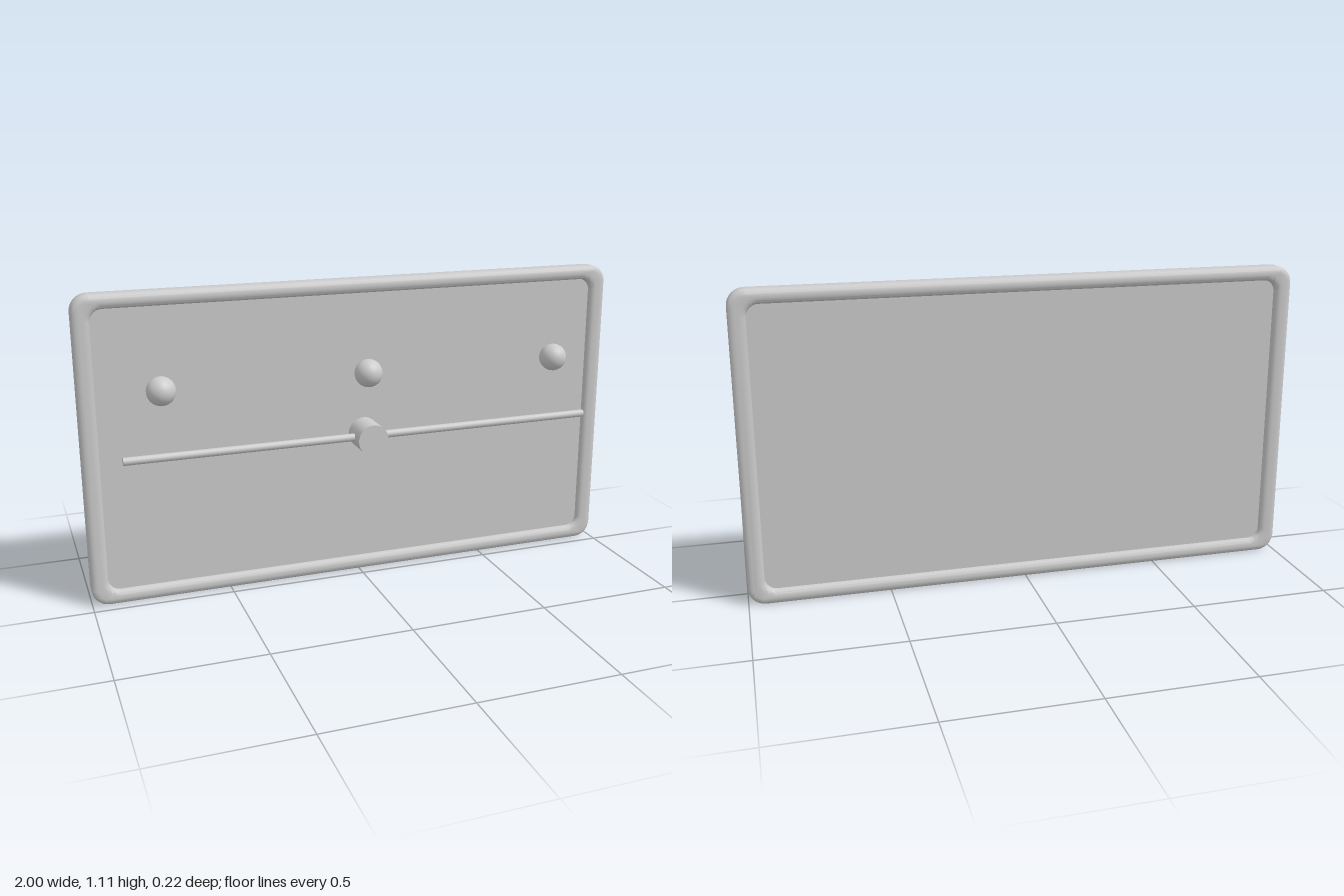
import * as THREE from 'three';
import { toCreasedNormals } from 'three/addons/utils/BufferGeometryUtils.js';

const material = new THREE.MeshStandardMaterial({ color: 0xcccccc });
const WIDTH = 2, HEIGHT = 1.11, MID_Y = HEIGHT / 2;
const FRAME_Z = -0.0735, FRAME_DEPTH = 0.075;
const FRONT_Z = 0.057; // depth of the rod, hub and balls

// Traces a rounded rectangle centred on the origin into a Shape or Path
function roundedRect(path, w, h, r) {
  const x = w / 2, y = h / 2;
  path.moveTo(x, -y + r);
  path.absarc(x - r, y - r, r, 0, Math.PI / 2);
  path.absarc(-x + r, y - r, r, Math.PI / 2, Math.PI);
  path.absarc(-x + r, -y + r, r, Math.PI, Math.PI * 1.5);
  path.absarc(x - r, -y + r, r, Math.PI * 1.5, Math.PI * 2);
  path.closePath();
  return path;
}

export function createModel() {
  const model = new THREE.Group();
  const add = (name, geometry, x, y, z) => {
    const mesh = new THREE.Mesh(geometry, material);
    mesh.name = name;
    mesh.position.set(x, y, z);
    model.add(mesh);
    return mesh;
  };

  // Rounded rim: a ring with soft bevels inside and out
  const size = 0.022, thick = 0.015;
  const ring = roundedRect(new THREE.Shape(), WIDTH - 2 * size, HEIGHT - 2 * size, 0.04);
  ring.holes.push(roundedRect(new THREE.Path(), 1.88 + 2 * size, 1.01 + 2 * size, 0.065));
  const rim = new THREE.ExtrudeGeometry(ring, {
    depth: FRAME_DEPTH - 2 * thick, bevelEnabled: true, bevelSize: size,
    bevelThickness: thick, bevelSegments: 4, curveSegments: 8,
  });
  rim.center();
  add('rim', toCreasedNormals(rim, 0.6), 0, MID_Y, FRAME_Z);

  // Flat panel set into the rim, recessed on both faces
  const panel = new THREE.ExtrudeGeometry(
    roundedRect(new THREE.Shape(), 1.9, 1.03, 0.05),
    { depth: 0.03, bevelEnabled: false, curveSegments: 8 });
  panel.center();
  add('panel', panel, 0, MID_Y, FRAME_Z);

  // Horizontal rod through a short hub that points forward
  const rod = new THREE.CylinderGeometry(0.014, 0.014, 1.75, 16).rotateZ(Math.PI / 2);
  add('rod', rod, 0, 0.56, FRONT_Z);
  const hub = new THREE.CylinderGeometry(0.056, 0.056, 0.111, 32).rotateX(Math.PI / 2);
  add('hub', hub, 0, 0.558, FRONT_Z);

  // Row of three balls above the rod
  const ball = new THREE.SphereGeometry(0.05, 32, 20);
  for (const x of [-0.735, 0, 0.735]) add('ball', ball, x, 0.792, FRONT_Z);

  return model;
}
